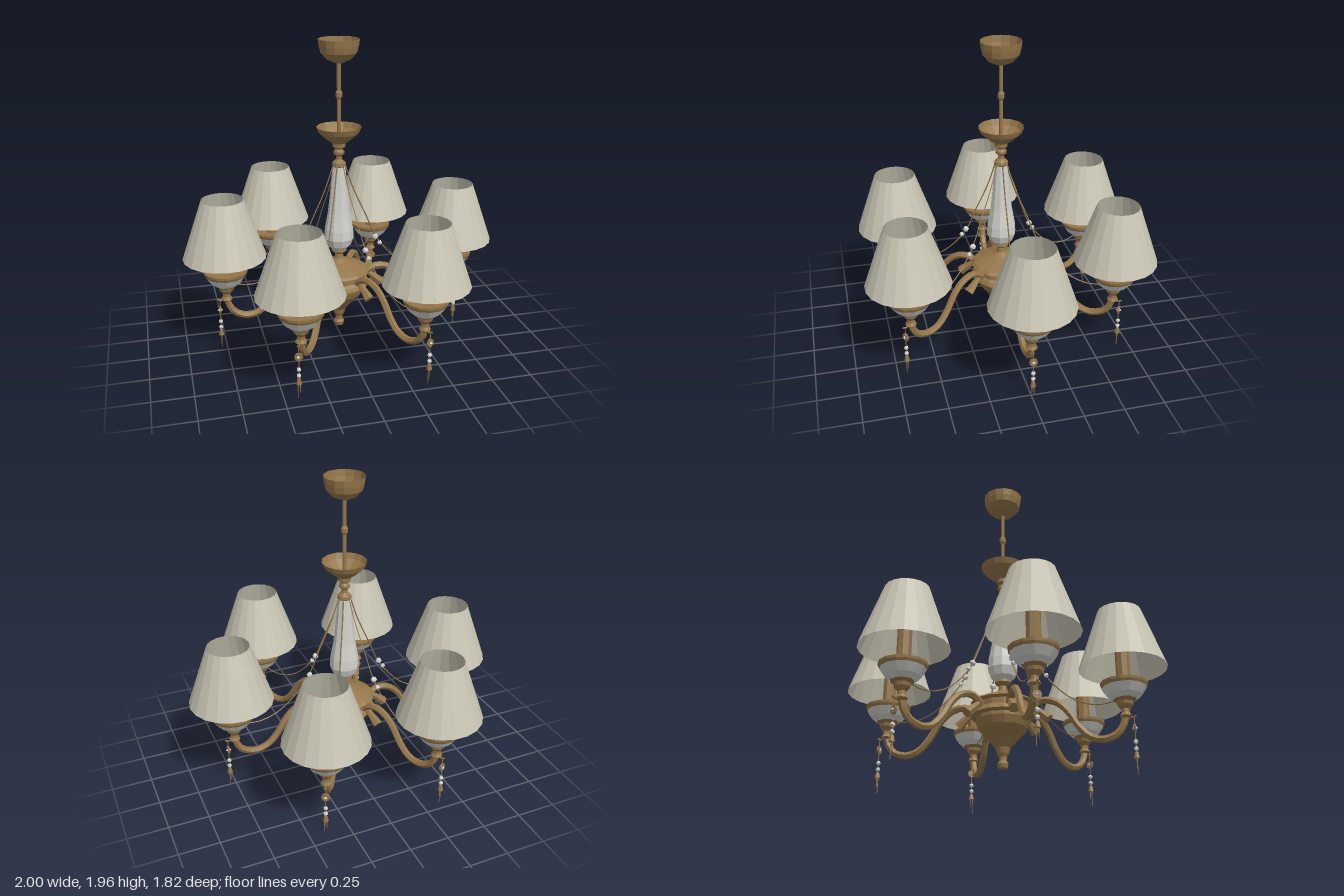
import * as THREE from 'three';

const mat = (name, color) =>
  new THREE.MeshStandardMaterial({ name, color, flatShading: true, side: THREE.DoubleSide });

export function createModel() {
  const brass = mat('brass', 0x94764a);
  const fabric = mat('lampshade fabric', 0xc9c5b4);
  const glass = mat('white glass', 0xcfcfca);

  const add = (parent, name, geometry, material, x = 0, y = 0, z = 0) => {
    const mesh = new THREE.Mesh(geometry, material);
    mesh.name = name;
    mesh.position.set(x, y, z);
    parent.add(mesh);
    return mesh;
  };
  // Profiles are [radius, height] pairs, from bottom to top
  const lathe = (profile, sides) =>
    new THREE.LatheGeometry(profile.map(p => new THREE.Vector2(...p)), sides);
  // Tubes follow [radial distance, height] pairs in the local xy plane
  const tube = (path, steps, radius, sides) => new THREE.TubeGeometry(
    new THREE.CatmullRomCurve3(path.map(([x, y]) => new THREE.Vector3(x, y, 0))),
    steps, radius, sides);

  const model = new THREE.Group();
  model.name = 'chandelier';
  const centre = new THREE.Group();
  centre.name = 'centralColumn';
  centre.position.x = -0.015;
  model.add(centre);

  // Ceiling canopy, hanging rod and open upper dish
  add(centre, 'ceilingCanopy', lathe([[0, 1.815], [0.03, 1.82], [0.075, 1.84],
    [0.11, 1.88], [0.12, 1.92], [0.125, 1.96]], 14), brass);
  add(centre, 'hangingRod', new THREE.CylinderGeometry(0.013, 0.013, 0.52, 8), brass, 0, 1.57);
  add(centre, 'rodKnuckle', lathe([[0.013, 1.6], [0.021, 1.615], [0.021, 1.64], [0.013, 1.655]], 8), brass);
  add(centre, 'upperDish', lathe([[0, 1.325], [0.045, 1.33], [0.08, 1.355],
    [0.125, 1.395], [0.14, 1.43]], 14), brass);
  add(centre, 'upperFinial', lathe([[0.03, 1.17], [0.045, 1.185], [0.042, 1.205], [0.02, 1.225],
    [0.018, 1.245], [0.034, 1.26], [0.034, 1.275], [0.022, 1.29], [0.04, 1.305], [0.04, 1.33]], 10), brass);

  // Glass baluster and turned brass body
  add(centre, 'glassBaluster', lathe([[0.04, 0.63], [0.075, 0.66], [0.094, 0.71], [0.09, 0.77],
    [0.07, 0.88], [0.055, 1.02], [0.04, 1.18]], 10), glass);
  add(centre, 'body', lathe([[0, 0.09], [0.028, 0.095], [0.034, 0.12], [0.024, 0.135], [0.024, 0.16],
    [0.035, 0.18], [0.045, 0.215], [0.09, 0.27], [0.145, 0.33], [0.165, 0.375], [0.165, 0.395],
    [0.195, 0.405], [0.185, 0.425], [0.17, 0.44], [0.17, 0.475], [0.195, 0.485], [0.18, 0.5],
    [0.1, 0.535], [0.06, 0.55], [0.03, 0.57], [0.025, 0.6], [0.05, 0.62], [0.045, 0.64]], 14), brass);

  // Geometry shared by the six branches
  const reach = 0.74;
  const armGeo = tube([[0.15, 0.42], [0.19, 0.465], [0.25, 0.49], [0.33, 0.47], [0.4, 0.405],
    [0.46, 0.31], [0.53, 0.24], [0.61, 0.22], [0.69, 0.25], [0.73, 0.31], [0.74, 0.37]], 22, 0.022, 6);
  const garlandGeo = tube([[0.04, 1.18], [0.09, 1.03], [0.17, 0.85], [0.24, 0.69],
    [0.33, 0.57], [0.45, 0.47], [0.58, 0.43], [0.69, 0.445]], 18, 0.004, 4);
  const leafGeo = new THREE.CylinderGeometry(0.016, 0.032, 0.12, 6);
  const socketGeo = lathe([[0.02, 0.33], [0.036, 0.345], [0.025, 0.365], [0.025, 0.385],
    [0.045, 0.41], [0.05, 0.43], [0.07, 0.445]], 10);
  const cupGeo = lathe([[0.07, 0.445], [0.1, 0.47], [0.13, 0.515]], 14);
  const panGeo = lathe([[0.13, 0.515], [0.138, 0.53], [0.14, 0.545], [0.12, 0.54], [0, 0.53]], 14);
  const candleGeo = new THREE.CylinderGeometry(0.042, 0.042, 0.24, 8);
  const bulbGeo = lathe([[0.02, 0.76], [0.035, 0.79], [0.05, 0.83], [0.04, 0.87], [0, 0.9]], 7);
  const shadeGeo = lathe([[0.26, 0.635], [0.13, 1.01]], 20);
  const beadGeo = new THREE.IcosahedronGeometry(0.015, 0);

  // Lamp positions, going round the column
  const lamps = [[0.74, 0], [0.345, 0.65], [-0.39, 0.625], [-0.74, -0.03], [-0.345, -0.655], [0.375, -0.635]];
  lamps.forEach(([x, z]) => {
    const dx = x - centre.position.x;
    const d = Math.hypot(dx, z);
    const branch = new THREE.Group();
    branch.name = 'branch';
    branch.position.x = centre.position.x;
    branch.rotation.y = -Math.atan2(z, dx);
    model.add(branch);

    // Curved arm with a scroll leaf, and the beaded garland
    add(branch, 'arm', armGeo, brass).scale.x = d / reach;
    add(branch, 'scrollLeaf', leafGeo, brass, 0.235, 0.41).rotation.z = 0.85;
    add(branch, 'garland', garlandGeo, brass).scale.x = d / reach;
    add(branch, 'garlandBead', beadGeo, glass, 0.24, 0.69).scale.setScalar(1.4);
    add(branch, 'armBead', beadGeo, glass, 0.27, 0.645).scale.setScalar(1.1);

    // Lamp: socket, glass cup, drip pan, candle, bulb and shade
    const lamp = new THREE.Group();
    lamp.name = 'lamp';
    lamp.position.x = d;
    branch.add(lamp);
    add(lamp, 'socket', socketGeo, brass);
    add(lamp, 'glassCup', cupGeo, glass);
    add(lamp, 'dripPan', panGeo, brass);
    add(lamp, 'candle', candleGeo, brass, 0, 0.645);
    add(lamp, 'bulb', bulbGeo, glass);
    add(lamp, 'shade', shadeGeo, fabric);

    // Hanging crystal drop on a small hook
    const drop = new THREE.Group();
    drop.name = 'crystalDrop';
    drop.position.x = 0.045;
    lamp.add(drop);
    add(drop, 'hook', tube([[-0.03, 0.35], [-0.01, 0.335], [0.015, 0.345]], 4, 0.006, 4), brass);
    add(drop, 'wire', new THREE.CylinderGeometry(0.003, 0.003, 0.24, 4), brass, 0, 0.22);
    const plate = add(drop, 'pendant', new THREE.CylinderGeometry(0.026, 0.026, 0.012, 8), brass, 0, 0.27);
    plate.rotation.z = Math.PI / 2;
    add(drop, 'pendantCrystal', new THREE.OctahedronGeometry(0.018), glass, 0, 0.27);
    for (const y of [0.19, 0.15]) add(drop, 'bead', beadGeo, glass, 0, y);
    add(drop, 'tasselCap', new THREE.CylinderGeometry(0.01, 0.018, 0.035, 6), brass, 0, 0.113);
    for (const [s, low] of [[-0.007, 0.04], [0.007, 0]])
      add(drop, 'tasselStrand', new THREE.CylinderGeometry(0.004, 0.002, 0.1 - low, 4), brass,
        0, (0.1 + low) / 2, s);
  });

  return model;
}
